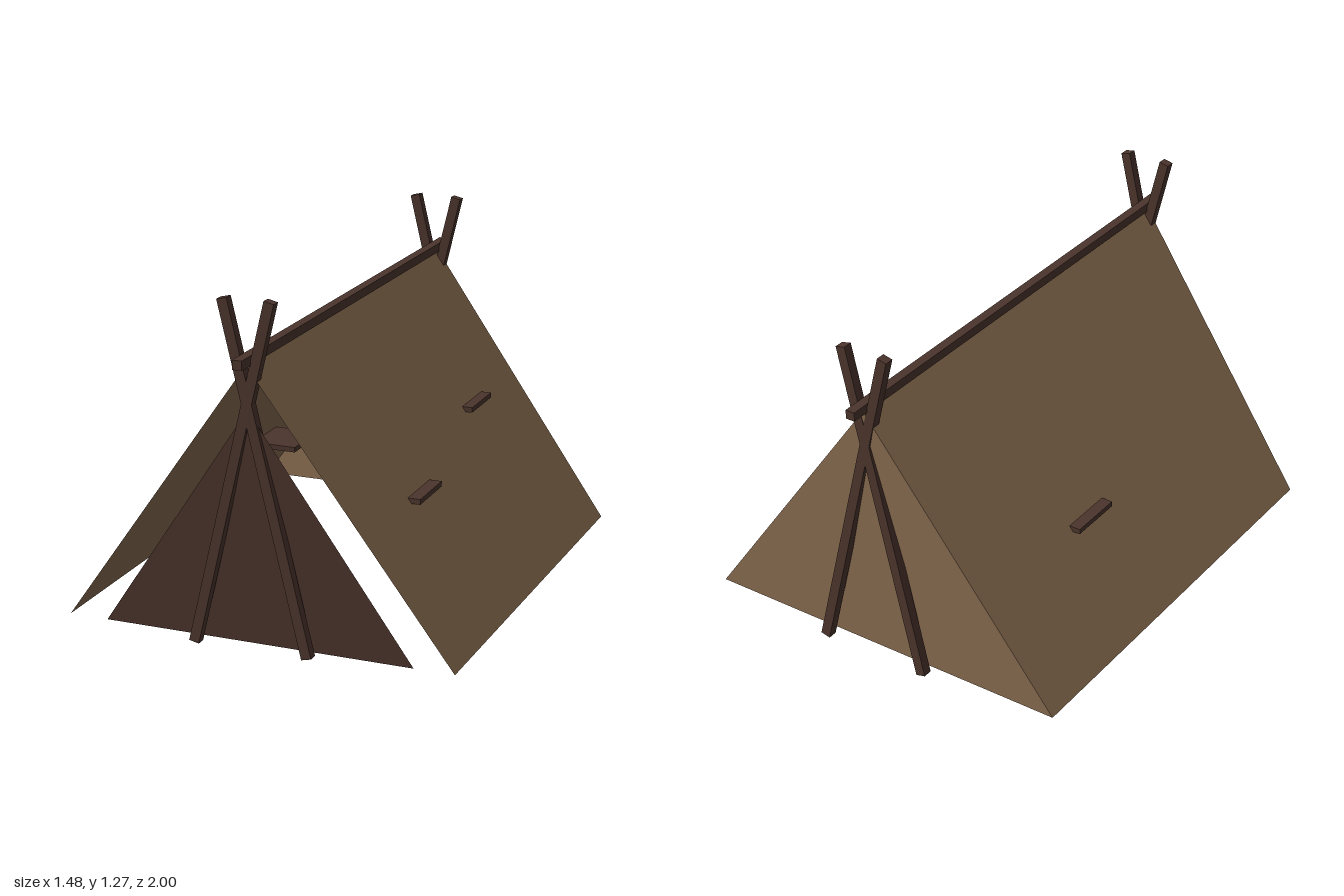
import * as THREE from 'three';

const canvas = new THREE.MeshStandardMaterial({ color: 0x8b6e52, side: THREE.DoubleSide });
canvas.name = 'canvas';
const wood = new THREE.MeshStandardMaterial({ color: 0x4c352d });
wood.name = 'darkWood';
const doorCloth = new THREE.MeshStandardMaterial({ color: 0x4c352d, side: THREE.DoubleSide });
doorCloth.name = 'doorCloth';

// Flat sheet from three or four corners, counter-clockwise seen from outside
function sheet(name, corners, material) {
  const geometry = new THREE.BufferGeometry();
  geometry.setAttribute('position', new THREE.Float32BufferAttribute(corners.flat(), 3));
  geometry.setIndex(corners.length === 4 ? [0, 1, 2, 0, 2, 3] : [0, 1, 2]);
  const flat = geometry.toNonIndexed();
  flat.computeVertexNormals();
  const mesh = new THREE.Mesh(flat, material);
  mesh.name = name;
  return mesh;
}

function beam(name, size, position) {
  const mesh = new THREE.Mesh(new THREE.BoxGeometry(...size), wood);
  mesh.name = name;
  mesh.position.set(...position);
  return mesh;
}

export function createModel() {
  const tent = new THREE.Group();
  tent.name = 'tent';
  const low = 0.01, top = 1.04, half = 0.74, zLow = 0.87, zTop = 0.93;

  // Sloping roof sides, flared outward at the ridge
  tent.add(sheet('leftRoof', [[half, low, zLow], [half, low, -zLow], [0, top, -zTop], [0, top, zTop]], canvas));
  tent.add(sheet('rightRoof', [[-half, low, -zLow], [-half, low, zLow], [0, top, zTop], [0, top, -zTop]], canvas));

  // Closed back wall and narrower front door flap
  tent.add(sheet('backWall', [[half, low, -zLow], [-half, low, -zLow], [0, top, -zTop]], canvas));
  tent.add(sheet('doorFlap', [[-0.59, low, zLow], [0.59, low, zLow], [0, 0.88, 0.92]], doorCloth));

  // Ridge pole
  tent.add(beam('ridgePole', [0.036, 0.034, 2], [0, 1.058, 0]));

  // Crossed poles at both ends
  const foot = new THREE.Vector2(-0.215, 0.005), tip = new THREE.Vector2(0.087, 1.265);
  const run = tip.clone().sub(foot), middle = foot.clone().add(tip).multiplyScalar(0.5);
  for (const end of [1, -1]) {
    for (const side of [1, -1]) {
      const pole = beam(end > 0 ? 'frontPole' : 'backPole', [0.038, run.length(), 0.036],
        [side * middle.x, middle.y, end * 0.912]);
      pole.rotation.z = -side * Math.atan2(run.x, run.y);
      tent.add(pole);
    }
  }

  // Flat pegs pushed through the roof
  for (const [x, y, z] of [[0.26, 0.571, -0.435], [0.345, 0.462, 0.35], [-0.39, 0.395, -0.22]]) {
    tent.add(beam('roofPeg', [0.22, 0.02, 0.22], [x, y, z]));
  }
  return tent;
}
